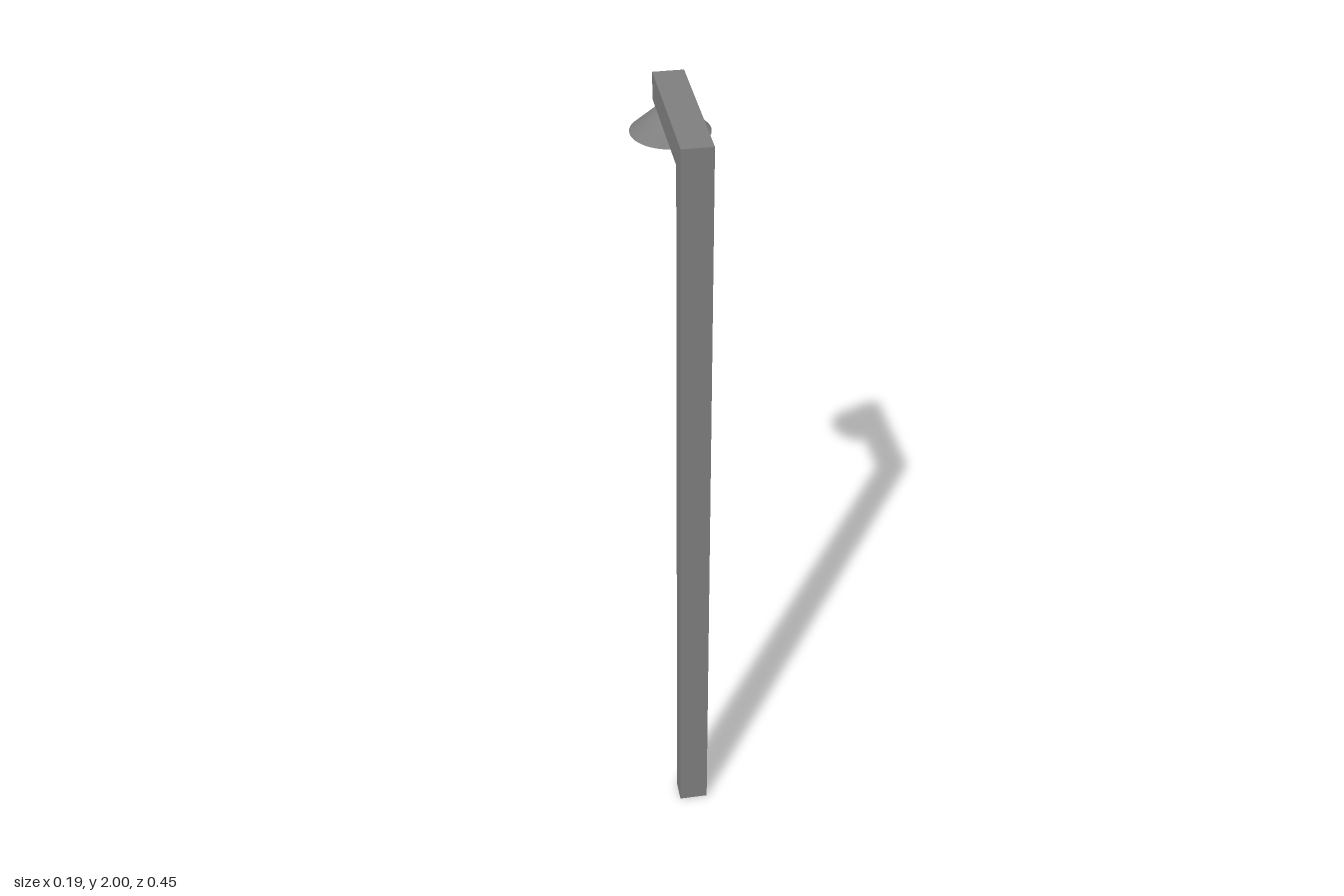
import * as THREE from 'three';

export function createModel() {
  const group = new THREE.Group();
  const grey = new THREE.MeshStandardMaterial({ color: 0x7e7e7e });
  const facetedGrey = new THREE.MeshStandardMaterial({ color: 0x7e7e7e, flatShading: true });
  const yellow = new THREE.MeshStandardMaterial({ color: 0x86864a });

  const add = (name, geometry, material, y, z) => {
    const mesh = new THREE.Mesh(geometry, material);
    mesh.name = name;
    mesh.position.set(0, y, z);
    group.add(mesh);
  };

  const width = 0.074, armHeight = 0.067;
  const front = 0.227, armBack = -0.16, poleDepth = 0.057;
  const lampZ = -0.131, rimY = 1.864, shadeHeight = 0.088;

  // Upright post, up to the underside of the arm
  const poleHeight = 2 - armHeight;
  add('pole', new THREE.BoxGeometry(width, poleHeight, poleDepth), grey,
    poleHeight / 2, front - poleDepth / 2);

  // Horizontal arm reaching backwards over the lamp
  add('arm', new THREE.BoxGeometry(width, armHeight, front - armBack), grey,
    2 - armHeight / 2, (front + armBack) / 2);

  // Conical shade with its tip set into the arm
  add('lampShade', new THREE.ConeGeometry(0.096, shadeHeight, 48), facetedGrey,
    rimY + shadeHeight / 2, lampZ);

  // Bulb: round lamp partly sunk into the shade
  add('bulb', new THREE.SphereGeometry(0.047, 32, 16), yellow, rimY + 0.004, lampZ);

  return group;
}
